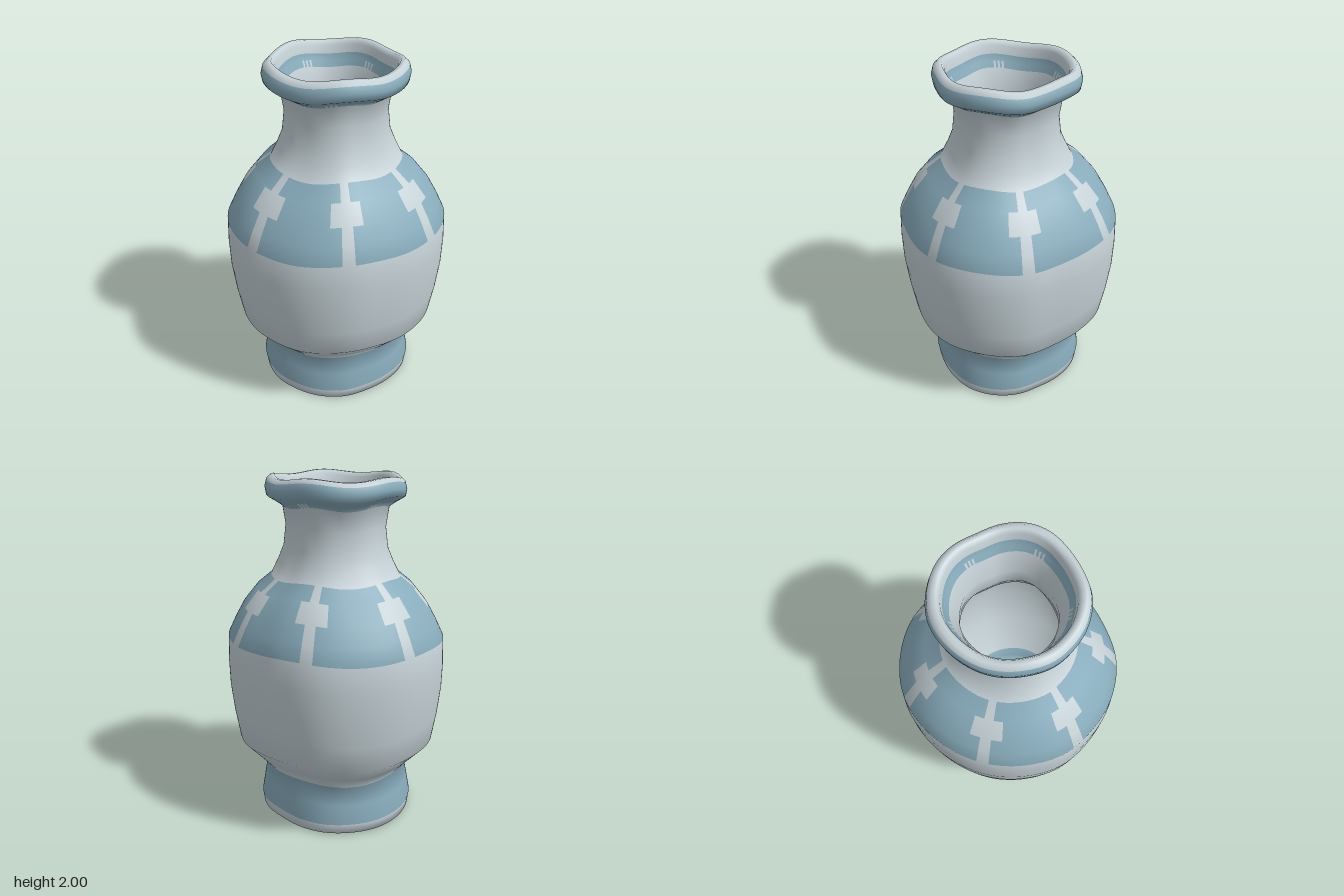
import * as THREE from 'three';

const glaze = new THREE.MeshStandardMaterial({ color: 0xc6d2d7 });
glaze.name = 'pale glaze';
const blue = new THREE.MeshStandardMaterial({ color: 0x89adbd });
blue.name = 'blue glaze';

const SEGMENTS = 168; // 7 crosses x 24 columns
const START = THREE.MathUtils.degToRad(80 - 12.5 * 360 / SEGMENTS); // first cross faces 80 degrees

// Hand-made unevenness: radius factor every 20 degrees, from +x towards +z
const WOBBLE = [1.0, 0.995, 0.965, 0.955, 0.985, 0.997, 1.0, 1.02, 1.01,
  1.003, 1.005, 1.02, 1.033, 1.025, 1.012, 0.975, 0.95, 0.985];

function wobble(angle) {
  const n = WOBBLE.length;
  const t = THREE.MathUtils.euclideanModulo(angle / (2 * Math.PI), 1) * n;
  const i = Math.floor(t), f = t - i;
  const [a, b, c, d] = [-1, 0, 1, 2].map((k) => WOBBLE[(i + k + n) % n]);
  return b + 0.5 * f * (c - a + f * (2 * a - 5 * b + 4 * c - d + f * (3 * (b - c) + d - a)));
}

// Column tests for the painted patterns
const crossColumn = (j) => Math.abs((j % 24) - 12);
const bar = (j) => (crossColumn(j) <= 1 ? glaze : blue);
const arms = (j) => (crossColumn(j) <= 4 ? glaze : blue);
const hatchColumns = new Set();
for (let k = 0; k < 5; k++) {
  const centre = Math.floor((Math.PI / 2 + k * 2 * Math.PI / 5 - START) / (2 * Math.PI) * SEGMENTS);
  for (const step of [-2, 0, 2]) hatchColumns.add((centre + step + SEGMENTS) % SEGMENTS);
}
const hatch = (j) => (hatchColumns.has(j) ? glaze : blue);
const plain = () => glaze;
const painted = () => blue;

// Profile from the underside, up the outside, over the lip and down to the floor:
// radius, height, part and paint of the strip that follows
const PROFILE = [
  [0, 0, 'base', plain],
  [0.41, 0, 'base', plain],
  [0.452, 0.008, 'foot', plain],
  [0.46, 0.066, 'foot', painted],
  [0.44, 0.18, 'foot', painted],
  [0.42, 0.29, 'body', plain],
  [0.5, 0.38, 'body', plain],
  [0.585, 0.47, 'body', plain],
  [0.612, 0.63, 'body', plain],
  [0.63, 0.79, 'body', plain],
  [0.634, 0.94, 'body', plain],
  [0.628, 1.09, 'shoulder', bar],
  [0.585, 1.18, 'shoulder', bar],
  [0.535, 1.27, 'shoulder', arms],
  [0.455, 1.37, 'shoulder', bar],
  [0.37, 1.44, 'neck', plain],
  [0.33, 1.52, 'neck', plain],
  [0.297, 1.6, 'neck', plain],
  [0.283, 1.72, 'neck', plain],
  [0.3, 1.835, 'lip', hatch],
  [0.34, 1.862, 'lip', painted],
  [0.388, 1.89, 'lip', painted],
  [0.395, 1.93, 'lip', painted],
  [0.385, 1.968, 'lip', plain],
  [0.362, 1.99, 'lip', plain],
  [0.338, 1.99, 'lip', plain],
  [0.323, 1.965, 'lip', plain],
  [0.316, 1.92, 'innerBand', painted],
  [0.305, 1.885, 'innerBand', hatch],
  [0.29, 1.85, 'innerWall', plain],
  [0.248, 1.72, 'innerWall', plain],
  [0.255, 1.6, 'innerWall', plain],
  [0.33, 1.43, 'innerWall', plain],
  [0.49, 1.26, 'innerWall', plain],
  [0.585, 1.08, 'innerWall', plain],
  [0.585, 0.79, 'innerWall', plain],
  [0.54, 0.49, 'innerWall', plain],
  [0.38, 0.3, 'innerWall', painted],
  [0.37, 0.2, 'innerFloor', painted],
  [0.34, 0.19, 'innerFloor', painted],
  [0, 0.19, 'innerFloor', painted],
];

export function createModel() {
  const vase = new THREE.Group();
  vase.name = 'vase';

  // Uneven surface grid shared by all parts, so the shading runs on smoothly
  const points = [];
  for (const [r, y] of PROFILE) {
    for (let j = 0; j < SEGMENTS; j++) {
      const a = START + (j / SEGMENTS) * 2 * Math.PI;
      const lift = 0.009 * Math.sin(5 * a + 1) * THREE.MathUtils.smoothstep(y, 0.05, 0.4);
      const radius = r * wobble(a);
      points.push(radius * Math.cos(a), y + lift, radius * Math.sin(a));
    }
  }

  // Sort the faces by part and colour
  const all = [];
  const pieces = new Map();
  for (let i = 0; i < PROFILE.length - 1; i++) {
    const [, , part, paint] = PROFILE[i];
    for (let j = 0; j < SEGMENTS; j++) {
      const k = (j + 1) % SEGMENTS;
      const a = i * SEGMENTS + j, b = a + SEGMENTS;
      const d = i * SEGMENTS + k, c = d + SEGMENTS;
      const faces = [];
      if (PROFILE[i + 1][0] > 0) faces.push(a, b, c);
      if (PROFILE[i][0] > 0) faces.push(a, c, d);
      if (PROFILE[i + 1][0] === 0) faces.splice(0, 3, a, b, d);
      const material = paint(j);
      const key = part + (material === blue ? 'Blue' : 'Pale');
      if (!pieces.has(key)) pieces.set(key, { material, index: [] });
      pieces.get(key).index.push(...faces);
      all.push(...faces);
    }
  }

  const surface = new THREE.BufferGeometry();
  surface.setAttribute('position', new THREE.Float32BufferAttribute(points, 3));
  surface.setIndex(all);
  surface.computeVertexNormals();

  // One mesh for each part and colour
  for (const [name, { material, index }] of pieces) {
    surface.setIndex(index);
    const mesh = new THREE.Mesh(surface.toNonIndexed(), material);
    mesh.name = name;
    vase.add(mesh);
  }
  return vase;
}
